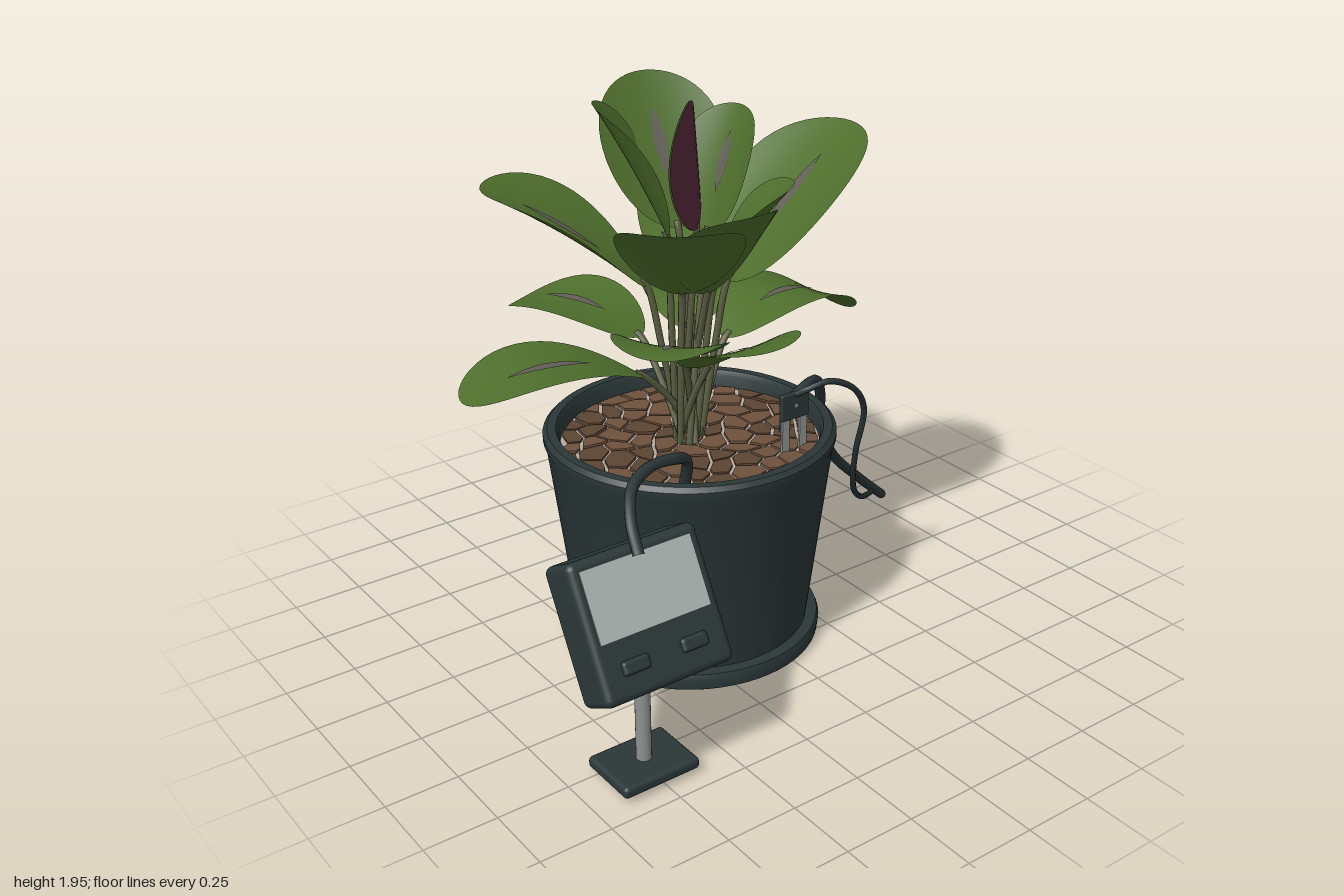
import * as THREE from 'three';
import { toCreasedNormals } from 'three/addons/utils/BufferGeometryUtils.js';
import { RoundedBoxGeometry } from 'three/addons/geometries/RoundedBoxGeometry.js';

const V = (x, y, z) => new THREE.Vector3(x, y, z);
const material = (name, color, side = THREE.FrontSide) => {
  const m = new THREE.MeshStandardMaterial({ color, side });
  m.name = name;
  return m;
};

export function createModel() {
  const mats = {
    dark: material('dark plastic', 0x2b3738),
    metal: material('grey metal', 0x8c9290),
    screen: material('screen grey', 0xa9b1ae),
    leaf: material('leaf green', 0x4f6f2d, THREE.DoubleSide),
    rib: material('dusty midrib', 0x625f58, THREE.DoubleSide),
    purple: material('purple leaf', 0x5a2a3e, THREE.DoubleSide),
    stem: material('stem olive', 0x5a5f42),
    bark: material('bark brown', 0x6d513d),
    barkDark: material('dark bark', 0x5c4433),
    grit: material('pale grit', 0xb5aca0),
  };
  const root = new THREE.Group();
  const add = (name, geo, mat, parent = root, x = 0, y = 0, z = 0) => {
    const mesh = new THREE.Mesh(geo, mat);
    mesh.name = name;
    mesh.position.set(x, y, z);
    parent.add(mesh);
    return mesh;
  };
  const tube = (name, pts, r, mat, parent = root) => add(name, new THREE.TubeGeometry(
    new THREE.CatmullRomCurve3(pts.map((p) => V(...p))), pts.length * 7, r, 8), mat, parent);

  const CX = -0.135, CZ = -0.055;

  // Saucer and pot, turned profiles
  const lathe = (name, profile) => add(name, toCreasedNormals(new THREE.LatheGeometry(
    profile.map((p) => new THREE.Vector2(...p)), 64), 0.6), mats.dark, root, CX, 0, CZ);
  lathe('saucer', [[0, 0], [0.435, 0], [0.452, 0.012], [0.457, 0.05], [0.45, 0.068], [0.4, 0.07], [0, 0.07]]);
  lathe('pot', [[0.41, 0.06], [0.495, 0.74], [0.505, 0.765], [0.505, 0.785], [0.49, 0.8],
    [0.46, 0.8], [0.45, 0.78], [0.445, 0.7]]);

  // Soil bed with bark chips in an uneven honeycomb
  const bed = new THREE.CircleGeometry(0.45, 48);
  bed.rotateX(-Math.PI / 2);
  add('soilBed', bed, mats.grit, root, CX, 0.735, CZ);
  const noise = (a, b) => {
    const s = Math.sin(Math.round(a * 500) * 12.99 + Math.round(b * 500) * 78.23) * 43758.5;
    return s - Math.floor(s) - 0.5;
  };
  const soil = new THREE.Group();
  soil.name = 'barkChips';
  soil.position.set(CX, 0.735, CZ);
  root.add(soil);
  const S = 0.056;
  for (let row = -6; row <= 6; row++) {
    for (let col = -6; col <= 6; col++) {
      const x = (col + (row & 1) / 2) * S * 1.732, z = row * S * 1.5;
      if (Math.hypot(x, z) > 0.45) continue;
      const pts = [];
      for (let k = 0; k < 6; k++) {
        const a = (k + 0.5) * Math.PI / 3;
        const px = x + S * Math.cos(a), pz = z + S * Math.sin(a);
        const p = new THREE.Vector2(px + noise(px, pz) * 0.045, pz + noise(pz, px + 1) * 0.045);
        p.lerp(new THREE.Vector2(x, z), 0.13);
        pts.push(p.clampLength(0, 0.442));
      }
      // shape y becomes model z, extruded downwards from the chip's top
      const depth = 0.006 + 0.006 * (noise(x, z) + 0.5);
      const chip = new THREE.ExtrudeGeometry(new THREE.Shape(pts), { depth, bevelEnabled: false });
      chip.rotateX(Math.PI / 2).translate(0, depth, 0);
      add('barkChip', chip, noise(z, x) > 0.1 ? mats.barkDark : mats.bark, soil);
    }
  }

  // Blade surface: an oval swept from base to tip, bowed along and cupped across
  function blade(base, tip, width, bow, cup, { dir, t0 = 0, t1 = 1, narrow = 0, lift = 0 } = {}) {
    const geo = new THREE.PlaneGeometry(1, 1, 10, 24);
    const pos = geo.attributes.position;
    const along = tip.clone().sub(base);
    const flat = dir || V(along.x, 0, along.z).normalize();
    const side = V(-flat.z, 0, flat.x);
    for (let i = 0; i < pos.count; i++) {
      const s = pos.getX(i) * 2;
      const v = (1 - Math.cos(Math.PI * (pos.getY(i) + 0.5))) / 2;
      const t = t0 + (t1 - t0) * v;
      const u = Math.pow(t, 1.12);
      let half = Math.sqrt(Math.max(0, 1 - (2 * u - 1) ** 2)) * width / 2;
      if (narrow) half = narrow * Math.sin(Math.PI * v);
      const tangent = along.clone().add(V(0, bow * 4 * (1 - 2 * t), 0)).normalize();
      const normal = side.clone().cross(tangent).normalize();
      const edge = half * s / (width / 2);
      const p = base.clone().addScaledVector(along, t);
      p.y += bow * 4 * t * (1 - t);
      p.addScaledVector(side, half * s).addScaledVector(normal, cup * edge * edge + lift);
      pos.setXYZ(i, p.x, p.y, p.z);
    }
    geo.computeVertexNormals();
    return geo;
  }

  let count = 0;
  function leaf(name, b, t, width, bow, cup, purpleDir = null) {
    const g = new THREE.Group();
    g.name = name;
    root.add(g);
    const base = V(...b), tip = V(...t);
    add('blade', blade(base, tip, width, bow, cup, { dir: purpleDir }), mats.leaf, g);
    if (purpleDir) {
      add('purpleFace', blade(base, tip, width, bow, cup, { dir: purpleDir, lift: 0.005 }), mats.purple, g);
    } else {
      add('midrib', blade(base, tip, width, bow, cup,
        { t0: 0.28, t1: 0.76, narrow: 0.021, lift: 0.004 }), mats.rib, g);
    }
    // Stalk from the soil to the blade
    const a = count++ * 2.4, r = 0.03 + 0.012 * (count % 4);
    const foot = V(-0.13 + r * Math.cos(a), 0.72, -0.07 + r * Math.sin(a));
    const mid = foot.clone().lerp(base, 0.55);
    mid.y += 0.03;
    tube('stalk', [foot.toArray(), mid.toArray(), b,
      base.clone().lerp(tip, 0.04).add(V(0, bow * 0.14, 0)).toArray()], 0.012, mats.stem, g);
  }

  // Low tier
  leaf('lowLeafRight', [-0.32, 1.02, -0.07], [-0.97, 1.08, -0.1], 0.37, 0.08, 0.02);
  leaf('lowLeafBackRight', [-0.2, 1.07, -0.25], [-0.42, 1.11, -0.71], 0.38, 0.07, 0.02);
  leaf('lowLeafBackLeft', [0, 1.05, -0.25], [0.33, 1.09, -0.73], 0.36, 0.07, 0.02);
  leaf('lowLeafLeft', [0.04, 1.06, -0.09], [0.66, 1.0, -0.2], 0.38, 0.12, 0.02);
  leaf('lowLeafFront', [-0.15, 1.06, 0.08], [-0.17, 1.23, 0.43], 0.42, 0.03, 0.02);
  leaf('lowLeafFrontRight', [-0.21, 1.09, 0.02], [-0.49, 1.23, 0.28], 0.38, 0.04, 0.03);
  // Middle tier
  leaf('midLeafBackLeft', [-0.04, 1.23, -0.18], [0.36, 1.5, -0.66], 0.42, 0.04, 0.05);
  leaf('midLeafBackRight', [-0.24, 1.3, -0.15], [-0.69, 1.65, -0.43], 0.48, 0.03, 0.06);
  leaf('midLeafLeft', [0.0, 1.3, -0.02], [0.51, 1.77, 0.0], 0.54, 0.02, 0.05);
  leaf('midLeafFrontRight', [-0.2, 1.3, 0.0], [-0.38, 1.6, 0.24], 0.42, 0.02, 0.06);
  leaf('midLeafFront', [-0.11, 1.29, 0.02], [-0.1, 1.62, 0.27], 0.38, 0.01, 0.06);
  leaf('midLeafFrontLeft', [-0.07, 1.3, 0.0], [0.13, 1.66, 0.17], 0.34, 0.02, 0.06);
  // Crown
  leaf('crownLeafRight', [-0.2, 1.48, -0.08], [-0.41, 1.93, -0.18], 0.42, 0.02, 0.06);
  leaf('crownLeafBack', [-0.12, 1.48, -0.13], [-0.07, 1.95, -0.4], 0.44, 0.01, 0.04);
  leaf('crownLeafLeft', [-0.04, 1.46, -0.08], [0.11, 1.87, -0.1], 0.32, 0.02, 0.05);
  leaf('youngPurpleLeaf', [-0.11, 1.5, -0.04], [-0.13, 1.915, -0.06], 0.48, 0, -0.03,
    V(-0.707, 0, -0.707));

  // Meter on its stand: tilted case, screen and buttons
  add('standBase', new RoundedBoxGeometry(0.28, 0.04, 0.22, 3, 0.015), mats.dark, root, -0.77, 0.04, 0.58);
  add('standPole', new THREE.CylinderGeometry(0.025, 0.025, 0.4, 20), mats.metal, root, -0.77, 0.25, 0.58);
  const meter = new THREE.Group();
  meter.name = 'meter';
  meter.position.set(-0.77, 0.578, 0.578);
  meter.rotation.x = -0.506;
  root.add(meter);
  add('case', new RoundedBoxGeometry(0.46, 0.44, 0.165, 4, 0.025), mats.dark, meter);
  add('screen', new THREE.BoxGeometry(0.395, 0.225, 0.006), mats.screen, meter, 0, 0.076, 0.083);
  for (const x of [-0.105, 0.105]) {
    add('button', new RoundedBoxGeometry(0.095, 0.045, 0.03, 3, 0.012), mats.dark, meter, x, -0.124, 0.081);
  }
  tube('meterCable', [[-0.77, 0.78, 0.58], [-0.75, 0.86, 0.51], [-0.69, 0.92, 0.43], [-0.59, 0.94, 0.38],
    [-0.47, 0.92, 0.35], [-0.39, 0.86, 0.29], [-0.37, 0.73, 0.24]], 0.019, mats.dark);

  // Moisture probe with two prongs
  add('probeHead', new RoundedBoxGeometry(0.115, 0.095, 0.02, 2, 0.005), mats.dark, root, 0.098, 0.903, 0.225);
  for (const x of [0.062, 0.136]) {
    add('probeProng', new THREE.BoxGeometry(0.03, 0.15, 0.01), mats.metal, root, x, 0.79, 0.225);
  }
  add('probeStud', new THREE.CylinderGeometry(0.008, 0.008, 0.006, 12).rotateX(Math.PI / 2),
    mats.metal, root, 0.098, 0.905, 0.236);

  // Thin wire and thick hose leaving the pot
  tube('probeWire', [[0.1, 0.94, 0.225], [0.13, 0.965, 0.26], [0.2, 0.983, 0.28], [0.31, 0.93, 0.28],
    [0.39, 0.82, 0.25], [0.42, 0.62, 0.18], [0.5, 0.42, 0.08], [0.7, 0.23, -0.1], [0.99, 0.07, -0.34]],
  0.011, mats.dark);
  tube('hose', [[0.14, 0.75, 0.12], [0.16, 0.85, 0.12], [0.24, 0.895, 0.11], [0.33, 0.875, 0.06],
    [0.4, 0.78, 0.0], [0.45, 0.64, -0.06], [0.6, 0.42, -0.16], [0.8, 0.23, -0.24], [0.99, 0.065, -0.3]],
  0.019, mats.dark);

  return root;
}
